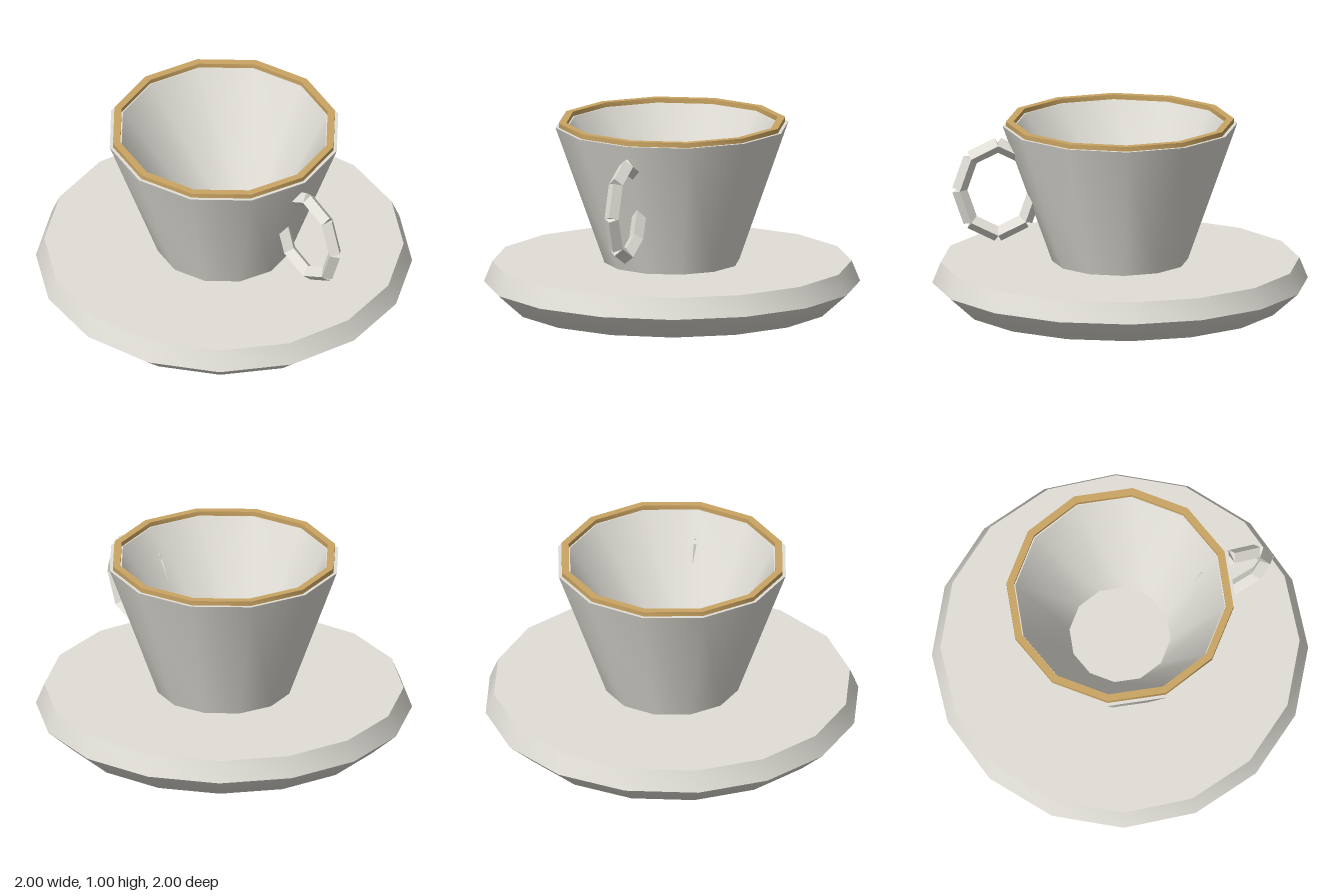
import * as THREE from 'three';
import { toCreasedNormals } from 'three/addons/utils/BufferGeometryUtils.js';

const porcelain = new THREE.MeshStandardMaterial({ color: 0xe0ded6 });
porcelain.name = 'porcelain';
const gold = new THREE.MeshStandardMaterial({ color: 0xcaa462 });
gold.name = 'gold';

// Mesh with sharp edges kept where faces meet steeply
function part(name, geometry, material) {
  const mesh = new THREE.Mesh(toCreasedNormals(geometry, 1.0), material);
  mesh.name = name;
  return mesh;
}

// Turned part from [radius, height] pairs
function turned(name, profile, sides, material) {
  const points = profile.map(([r, y]) => new THREE.Vector2(r, y));
  return part(name, new THREE.LatheGeometry(points, sides), material);
}

export function createModel() {
  const model = new THREE.Group();
  model.name = 'cupAndSaucer';

  // Saucer: undercut foot, ridge and flat top
  model.add(turned('saucer', [
    [0, 0], [0.86, 0], [1, 0.125], [0.955, 0.235], [0, 0.235],
  ], 16, porcelain));

  // Cup: flared outer wall, lip, inner wall and inner floor
  model.add(turned('cup', [
    [0, 0.23], [0.36, 0.23], [0.625, 0.975], [0.56, 0.975], [0.27, 0.38], [0, 0.38],
  ], 12, porcelain));

  // Gold band standing on the lip
  model.add(turned('rimBand', [
    [0.567, 0.97], [0.607, 0.97], [0.607, 1], [0.567, 1], [0.567, 0.97],
  ], 12, gold));

  // Handle: oval ring of eight separate four-sided bars
  const handle = new THREE.Group();
  handle.name = 'handle';
  const bars = 8;
  const ringPoint = (i) => {
    const a = (i / bars) * Math.PI * 2;
    return new THREE.Vector3(0.65 + 0.205 * Math.cos(a), 0.63 + 0.245 * Math.sin(a), 0);
  };
  for (let i = 0; i < bars; i++) {
    const a = ringPoint(i);
    const b = ringPoint(i + 1);
    const along = b.clone().sub(a);
    const bar = part('handleBar', new THREE.CylinderGeometry(0.04, 0.04, along.length(), 4), porcelain);
    bar.position.copy(a).add(b).multiplyScalar(0.5);
    bar.rotation.z = Math.atan2(along.y, along.x) - Math.PI / 2;
    handle.add(bar);
  }
  model.add(handle);

  return model;
}
